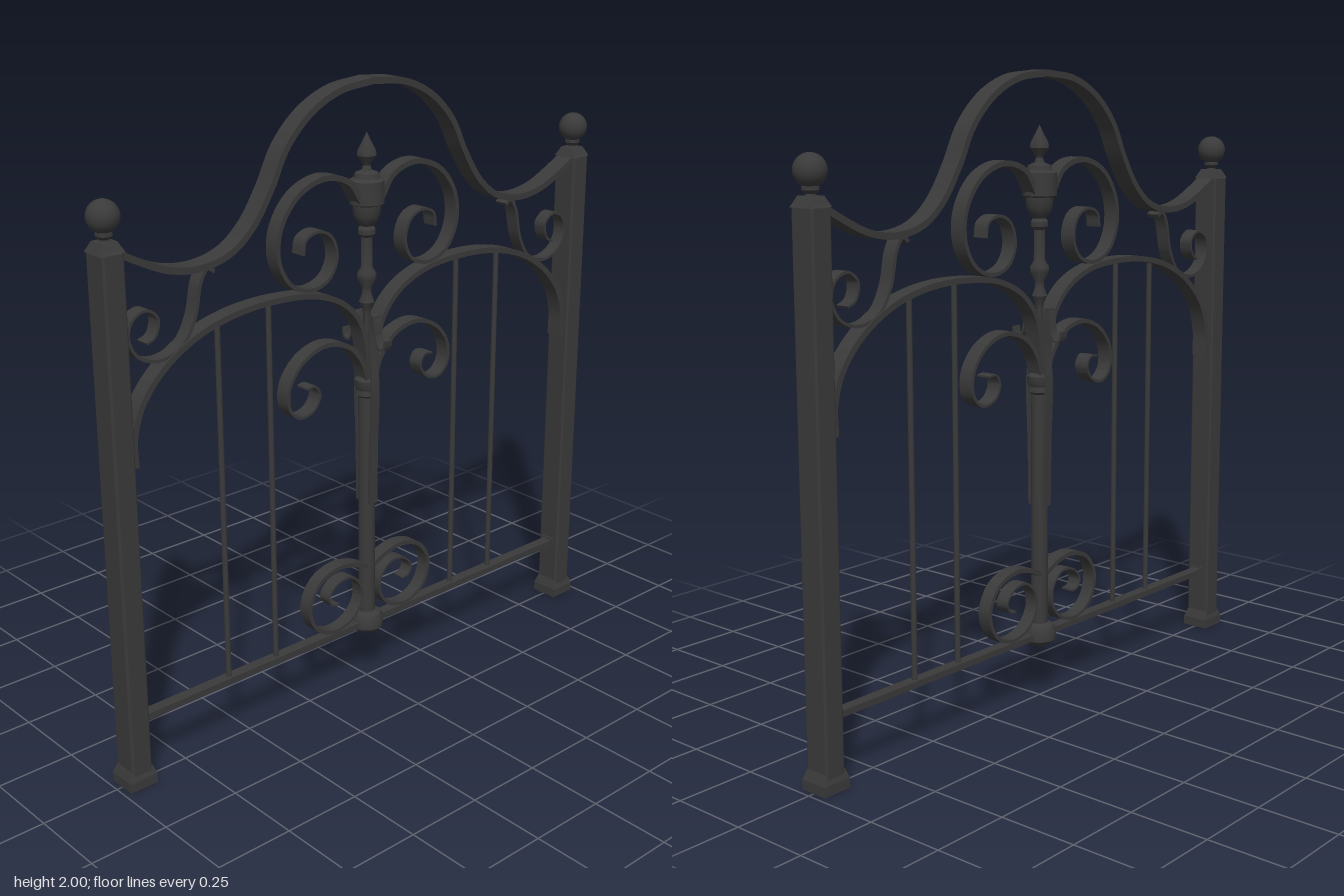
import * as THREE from 'three';
import { toCreasedNormals } from 'three/addons/utils/BufferGeometryUtils.js';
import { RoundedBoxGeometry } from 'three/addons/geometries/RoundedBoxGeometry.js';

export function createModel() {
  const root = new THREE.Group();
  root.name = 'wroughtIronGate';
  const iron = new THREE.MeshStandardMaterial({ color: 0x3a3a3a });
  iron.name = 'darkIron';

  const add = (name, geo, x = 0, y = 0, z = 0, parent = root) => {
    const m = new THREE.Mesh(geo, iron);
    m.name = name;
    m.position.set(x, y, z);
    parent.add(m);
    return m;
  };

  // Flat iron strip following a smooth planar curve, tapering towards its end
  const strip = (pts, side, depth, t0, t1 = t0) => {
    const curve = new THREE.CatmullRomCurve3(pts.map(([x, y]) => new THREE.Vector3(x * side, y, 0)));
    const n = pts.length * 7, a = [], b = [];
    for (let i = 0; i <= n; i++) {
      const p = curve.getPointAt(i / n), t = curve.getTangentAt(i / n);
      const h = THREE.MathUtils.lerp(t0, t1, i / n) / 2;
      a.push(new THREE.Vector2(p.x - t.y * h, p.y + t.x * h));
      b.unshift(new THREE.Vector2(p.x + t.y * h, p.y - t.x * h));
    }
    const g = new THREE.ExtrudeGeometry(new THREE.Shape([...a, ...b]), { depth, bevelEnabled: false });
    g.translate(0, 0, -depth / 2);
    return toCreasedNormals(g, 0.6);
  };

  const lathe = (pts, seg = 24) => toCreasedNormals(
    new THREE.LatheGeometry(pts.map(([r, y]) => new THREE.Vector2(r, y)), seg), 0.6);

  // Four-sided tapered block: widths at top and bottom
  const block = (top, bottom, h) => {
    const g = new THREE.CylinderGeometry(top / Math.SQRT2, bottom / Math.SQRT2, h, 4, 1);
    g.rotateY(Math.PI / 4);
    return toCreasedNormals(g, 0.3);
  };

  // Curves of the right half, mirrored for the other side
  const crown = [[0, 1.989], [0.13, 1.973], [0.24, 1.922], [0.33, 1.835], [0.39, 1.725], [0.46, 1.625],
    [0.54, 1.565], [0.645, 1.542], [0.75, 1.556], [0.86, 1.605], [0.91, 1.632]];
  const arch = [[0.888, 1.01], [0.887, 1.1], [0.855, 1.19], [0.78, 1.275], [0.67, 1.342], [0.54, 1.38],
    [0.385, 1.392], [0.22, 1.375], [0.11, 1.325], [0.045, 1.25], [0.02, 1.15], [0.012, 1.05]];
  const upperScroll = [[0.04, 1.63], [0.09, 1.698], [0.185, 1.724], [0.29, 1.685], [0.355, 1.595], [0.36, 1.5],
    [0.315, 1.425], [0.24, 1.397], [0.17, 1.42], [0.14, 1.48], [0.16, 1.545], [0.21, 1.57], [0.26, 1.552], [0.27, 1.508]];
  const middleScroll = [[0.012, 1.05], [0.035, 1.12], [0.09, 1.185], [0.185, 1.212], [0.275, 1.18], [0.33, 1.11],
    [0.33, 1.04], [0.29, 1.005], [0.235, 1.018], [0.212, 1.06], [0.23, 1.092], [0.262, 1.09]];
  const lowerScroll = [[0.015, 0.415], [0.07, 0.44], [0.14, 0.45], [0.22, 0.42], [0.26, 0.345], [0.235, 0.268],
    [0.165, 0.23], [0.085, 0.247], [0.042, 0.30], [0.045, 0.36], [0.09, 0.402], [0.15, 0.393], [0.18, 0.355],
    [0.168, 0.328], [0.14, 0.322]];
  const cornerScroll = [[0.592, 1.522], [0.615, 1.535], [0.64, 1.5], [0.665, 1.40], [0.71, 1.33], [0.79, 1.303],
    [0.86, 1.33], [0.888, 1.39], [0.87, 1.438], [0.825, 1.455], [0.788, 1.425], [0.80, 1.375], [0.83, 1.36]];

  for (const s of [1, -1]) {
    const half = new THREE.Group();
    half.name = s > 0 ? 'leftHalf' : 'rightHalf';
    root.add(half);
    const px = s * 0.933;

    // Side post with foot, cap and ball
    add('post', new RoundedBoxGeometry(0.07, 1.6, 0.085, 2, 0.008), px, 0.84, 0, half);
    add('postFoot', block(0.095, 0.095, 0.03), px, 0.015, 0, half);
    add('postFootTaper', block(0.075, 0.095, 0.03), px, 0.045, 0, half);
    add('postCap', block(0.05, 0.08, 0.03), px, 1.65, 0, half);
    add('ballNeck', lathe([[0.03, 0], [0.016, 0.015], [0.014, 0.025], [0.024, 0.035], [0.024, 0.045], [0, 0.055]]),
      px, 1.645, 0, half);
    add('ball', new THREE.SphereGeometry(0.047, 24, 16), px, 1.732, 0, half);

    // Curved ironwork
    add('crownRail', strip(crown, s, 0.064, 0.02), 0, 0, 0, half);
    add('innerArch', strip(arch, s, 0.055, 0.02, 0.016), 0, 0, 0, half);
    add('upperScroll', strip(upperScroll, s, 0.05, 0.019, 0.008), 0, 0, 0, half);
    add('middleScroll', strip(middleScroll, s, 0.05, 0.018, 0.006), 0, 0, 0, half);
    add('lowerScroll', strip(lowerScroll, s, 0.045, 0.016, 0.006), 0, 0, 0, half);
    add('cornerScroll', strip(cornerScroll, s, 0.045, 0.012, 0.007), 0, 0, 0, half);

    // Vertical bars and bottom rail
    for (const [x, top] of [[0.387, 1.388], [0.574, 1.37]]) {
      add('bar', new THREE.CylinderGeometry(0.009, 0.009, top - 0.21, 10), s * x, (top + 0.21) / 2, 0, half);
    }
    add('bottomRail', new THREE.BoxGeometry(0.91, 0.02, 0.036), s * 0.455, 0.21, 0, half);
    add('railSocket', new THREE.BoxGeometry(0.018, 0.032, 0.05), s * 0.9, 0.21, 0, half);
  }

  // Centre post with its lower knob and collar
  add('centrePost', new THREE.CylinderGeometry(0.027, 0.027, 0.82, 20), 0, 0.62, 0);
  add('lowerKnob', lathe([[0, 0.175], [0.035, 0.177], [0.053, 0.195], [0.054, 0.225], [0.045, 0.242], [0.027, 0.25]]));
  add('collar', lathe([[0.027, 1.0], [0.036, 1.008], [0.033, 1.025], [0.038, 1.035], [0.039, 1.058], [0.03, 1.068], [0, 1.07]]));

  // Turned spindle and finial
  add('finial', lathe([[0.011, 1.06], [0.011, 1.27], [0.015, 1.29], [0.024, 1.31], [0.015, 1.335], [0.014, 1.355],
    [0.03, 1.385], [0.03, 1.4], [0.018, 1.42], [0.017, 1.515], [0.027, 1.525], [0.027, 1.54], [0.02, 1.55],
    [0.032, 1.565], [0.042, 1.585], [0.044, 1.615], [0.054, 1.62], [0.054, 1.69], [0.04, 1.698], [0.036, 1.712],
    [0.016, 1.72], [0.011, 1.735], [0.018, 1.748], [0.03, 1.765], [0.028, 1.78], [0.012, 1.81], [0, 1.835]]));

  // Leaf hooks on the front and back of the centre post
  const hook = [[0.028, 0.64], [0.032, 0.85], [0.038, 1.04], [0.028, 1.14], [0.028, 1.23], [0.04, 1.278],
    [0.048, 1.25], [0.056, 1.2], [0.072, 1.173], [0.091, 1.178], [0.097, 1.207]];
  for (const s of [1, -1]) {
    const g = strip(hook, s, 0.03, 0.012, 0.007);
    g.rotateY(-Math.PI / 2);
    add(s > 0 ? 'frontLeafHook' : 'backLeafHook', g);
  }
  return root;
}
